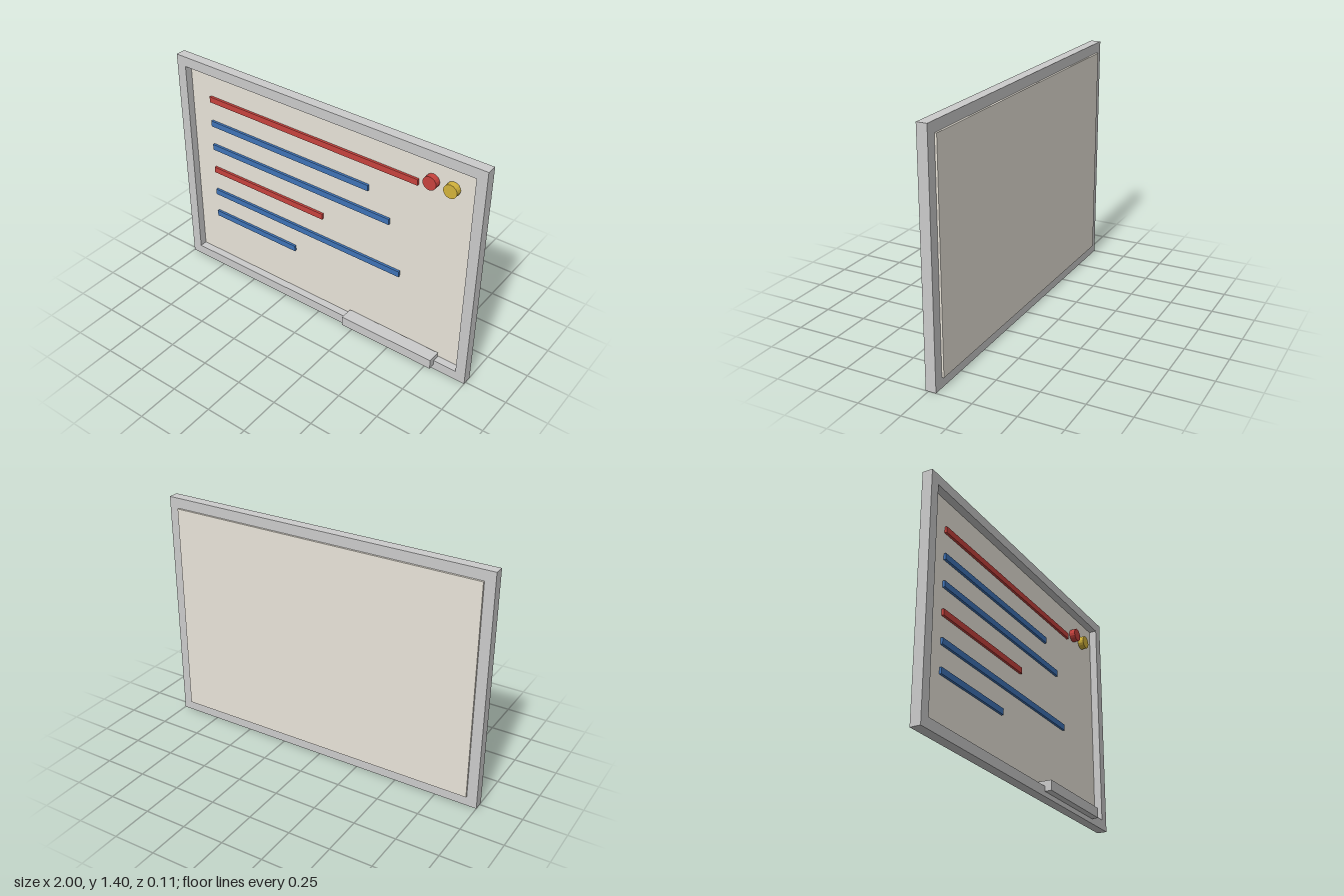
import * as THREE from 'three';

const material = (color) => new THREE.MeshStandardMaterial({ color, flatShading: true });

export function createModel() {
  const group = new THREE.Group();
  const grey = material(0xcccccc);
  const cream = material(0xeae5da);
  const red = material(0xc8433e);
  const blue = material(0x3f74b8);
  const yellow = material(0xd4b43c);

  const add = (name, geometry, mat, x, y, z) => {
    const mesh = new THREE.Mesh(geometry, mat);
    mesh.name = name;
    mesh.position.set(x, y, z);
    group.add(mesh);
    return mesh;
  };

  // Frame: one rectangular ring
  const rect = (path, hw, y0, y1) =>
    path.moveTo(-hw, y0).lineTo(hw, y0).lineTo(hw, y1).lineTo(-hw, y1).closePath();
  const ring = rect(new THREE.Shape(), 1, 0, 1.4);
  ring.holes.push(rect(new THREE.Path(), 0.94, 0.06, 1.34));
  const frameGeometry = new THREE.ExtrudeGeometry(ring, { depth: 0.06, bevelEnabled: false });
  add('frame', frameGeometry, grey, 0, 0, -0.044);

  // Board surface, set back in the frame and standing slightly proud behind it
  const boardFront = -0.03;
  add('board', new THREE.BoxGeometry(1.88, 1.28, 0.026), cream, 0, 0.7, boardFront - 0.013);

  // Written lines: right end and colour, from top to bottom
  const lines = [[0.6, red], [0.3, blue], [0.44, blue], [0, red], [0.52, blue], [-0.2, blue]];
  lines.forEach(([end, mat], i) => {
    const width = end + 0.8;
    add(`writtenLine${i + 1}`, new THREE.BoxGeometry(width, 0.036, 0.02), mat,
      -0.8 + width / 2, 1.16 - i * 0.16, boardFront + 0.004);
  });

  // Round magnets
  [['redMagnet', 0.68, red], ['yellowMagnet', 0.8, yellow]].forEach(([name, x, mat]) => {
    const magnet = new THREE.CylinderGeometry(0.04, 0.04, 0.04, 16).rotateX(Math.PI / 2);
    add(name, magnet, mat, x, 1.2, boardFront + 0.016);
  });

  // Pen tray, overlapping the lower rail
  add('penTray', new THREE.BoxGeometry(0.6, 0.06, 0.08), grey, 0.5, 0.06, 0.016);

  return group;
}
